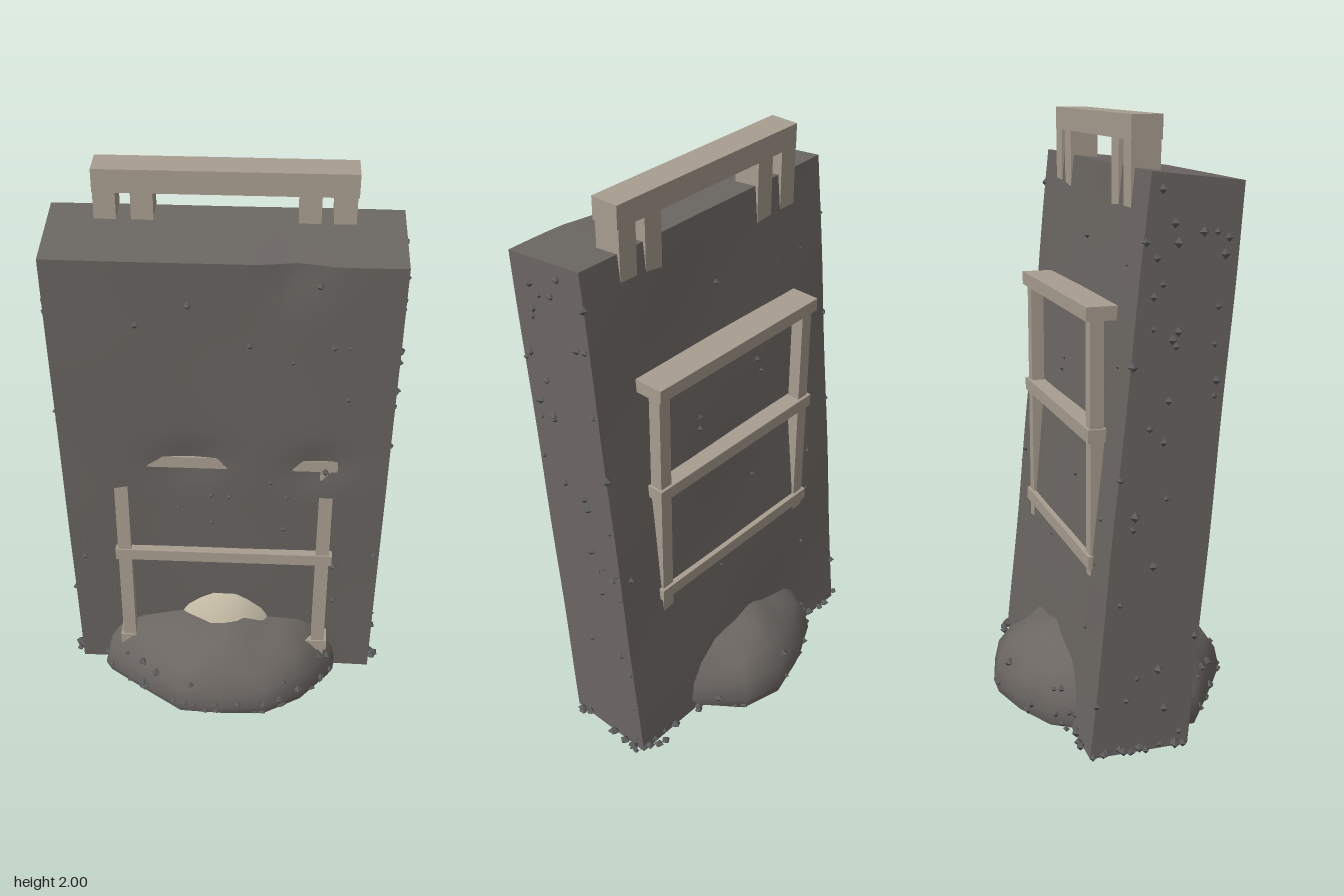
import * as THREE from 'three';
import { mergeGeometries } from 'three/addons/utils/BufferGeometryUtils.js';

const material = (color, extra = {}) => new THREE.MeshStandardMaterial({ color, ...extra });

// Seeded random numbers for the scattered pebbles
let seed = 7;
const rand = () => {
  seed = (seed * 16807) % 2147483647;
  return seed / 2147483647;
};
const range = (a, b) => a + (b - a) * rand();

// Front and back faces of the leaning slab
const slabFront = (y) => 0.104 + 0.156 * y / 1.81;
const slabBack = (y) => -0.225 + 0.187 * y / 1.845;

const gauss = (x, y, cx, cy, w, h) => Math.exp(-(((x - cx) / w) ** 2) - ((y - cy) / h) ** 2);

// Shallow unevenness of the stone, with two worn hollows on the front
function wear(x, y, front) {
  const wave = 0.003 * Math.sin(7 * x + 3 * y) * Math.sin(5 * y - 2 * x);
  if (!front) return wave;
  return wave - 0.018 * gauss(x, y, -0.11, 1.02, 0.1, 0.07) - 0.018 * gauss(x, y, 0.31, 1.02, 0.09, 0.07)
    - 0.02 * gauss(x, y, 0.22, 1.8, 0.07, 0.1);
}

function makeSlab(mat) {
  const geo = new THREE.BoxGeometry(1.08, 1, 1, 20, 36, 4);
  const p = geo.attributes.position;
  for (let i = 0; i < p.count; i++) {
    const x = p.getX(i), d = p.getZ(i) + 0.5;
    const y = (p.getY(i) + 0.5) * (1.845 - 0.033 * d);
    const front = slabFront(y) + wear(x, y, true);
    const back = slabBack(y) - wear(x, y, false);
    p.setXYZ(i, x, y, back + (front - back) * d);
  }
  geo.computeVertexNormals();
  const mesh = new THREE.Mesh(geo, mat);
  mesh.name = 'leaningSlab';
  return mesh;
}

// Mound outline: radius at 16 steps, starting at +x and turning towards +z
const outline = [0.42, 0.44, 0.42, 0.41, 0.385, 0.41, 0.41, 0.48, 0.44, 0.42, 0.42, 0.40, 0.41, 0.40, 0.35, 0.39];
// Mound profile: share of the radius and height
const profile = [[0.96, 0], [1, 0.05], [0.96, 0.12], [0.86, 0.185], [0.68, 0.24], [0.45, 0.275], [0.2, 0.29], [0, 0.3]];

function moundPoint(a, level) {
  const n = outline.length;
  const [share, height] = profile[level];
  const r = outline[a % n] * share;
  const t = (a % n) / n * Math.PI * 2;
  const lump = 1 + 0.07 * Math.sin(a * 2.4 + level * 1.3) * Math.min(1, share * 1.5);
  return new THREE.Vector3(r * Math.cos(t), height * lump, r * Math.sin(t));
}

function makeMound(mat) {
  const n = outline.length, pos = [], index = [];
  profile.forEach((_, level) => {
    for (let a = 0; a < n; a++) pos.push(...moundPoint(a, level).toArray());
  });
  for (let l = 0; l < profile.length - 1; l++) {
    for (let a = 0; a < n; a++) {
      const b = (a + 1) % n, o = l * n, u = o + n;
      index.push(o + a, u + a, o + b, o + b, u + a, u + b);
    }
  }
  const geo = new THREE.BufferGeometry();
  geo.setAttribute('position', new THREE.Float32BufferAttribute(pos, 3));
  geo.setIndex(index);
  geo.computeVertexNormals();
  const mesh = new THREE.Mesh(geo, mat);
  mesh.name = 'earthMound';
  return mesh;
}

// Beam given by its limits on each axis
function beam(parent, name, mat, [x0, x1], [y0, y1], [z0, z1]) {
  const mesh = new THREE.Mesh(new THREE.BoxGeometry(x1 - x0, y1 - y0, z1 - z0), mat);
  mesh.position.set((x0 + x1) / 2, (y0 + y1) / 2, (z0 + z1) / 2);
  mesh.name = name;
  parent.add(mesh);
}

function makePebbles(mat) {
  const parts = [];
  const add = (x, y, z, r = range(0.011, 0.019)) => {
    const g = new THREE.OctahedronGeometry(r);
    g.rotateY(range(0, 3));
    g.translate(x, Math.max(y, r), z);
    parts.push(g);
  };
  // Sides of the slab, denser towards the back
  for (const side of [-1, 1]) {
    for (let i = 0; i < 36; i++) {
      const y = range(0.05, 1.8);
      const z = slabBack(y) + (slabFront(y) - slabBack(y)) * rand() ** 1.3;
      add(side * 0.54, y, z);
    }
    for (let i = 0; i < 14; i++) add(side * range(0.53, 0.565), 0.01, range(-0.23, 0.1));
  }
  // Faces of the slab
  for (let i = 0; i < 24; i++) {
    const x = range(-0.53, 0.53), y = range(0.3, 1.8);
    add(x, y, slabFront(y), range(0.007, 0.016));
  }
  for (let i = 0; i < 14; i++) {
    const x = range(-0.53, 0.53), y = range(0.3, 1.8);
    add(x, y, slabBack(y), range(0.007, 0.014));
  }
  // Foot of the back face
  for (let i = 0; i < 16; i++) add((i % 3 ? 1 : -1) * range(0.25, 0.56), 0.01, range(-0.26, -0.22));
  // Slopes of the mound
  for (let i = 0; i < 60; i++) {
    const a = i < 44 ? Math.floor(range(1, 8)) : Math.floor(range(9, 16));
    const l = Math.floor(range(0, 3));
    const q = moundPoint(a, l).lerp(moundPoint(a + 1, l), rand());
    q.lerp(moundPoint(a, l + 1), 0.3 * rand());
    add(q.x, q.y, q.z);
  }
  const mesh = new THREE.Mesh(mergeGeometries(parts), mat);
  mesh.name = 'pebbles';
  return mesh;
}

export function createModel() {
  const model = new THREE.Group();
  const stone = material(0x6b6662);
  const wood = material(0xa89d90);

  model.add(makeSlab(stone));
  model.add(makeMound(material(0x6b6662, { side: THREE.DoubleSide })));

  // Pale boulder half buried in the mound
  const boulderGeo = new THREE.SphereGeometry(1, 14, 7, 0, Math.PI * 2, 0, Math.PI / 2);
  const boulder = new THREE.Mesh(boulderGeo, material(0xcdc3ad, { side: THREE.DoubleSide }));
  boulder.scale.set(0.25, 0.41, 0.2);
  boulder.position.y = 0.1;
  boulder.name = 'paleBoulder';
  model.add(boulder);

  // Upright timber frame passing through the slab, with rungs on both faces
  const frame = new THREE.Group();
  frame.name = 'timberFrame';
  for (const x of [-0.348, 0.342]) {
    beam(frame, 'frontPost', wood, [x - 0.023, x + 0.023], [0.02, 1.4], [0.13, 0.181]);
    beam(frame, 'backPost', wood, [x - 0.023, x + 0.023], [0.02, 1.4], [-0.17, -0.125]);
  }
  for (const y of [0.18, 0.6, 1.02]) {
    beam(frame, 'frontRung', wood, [-0.38, 0.375], [y - 0.022, y + 0.022], [0.12, 0.186]);
    beam(frame, 'backRung', wood, [-0.38, 0.375], [y - 0.022, y + 0.022], [-0.18, -0.115]);
  }
  beam(frame, 'topPlate', wood, [-0.38, 0.375], [1.385, 1.43], [-0.185, 0.1]);
  model.add(frame);

  // Handle-like rail on four short legs
  const rail = new THREE.Group();
  rail.name = 'topRail';
  beam(rail, 'railBeam', wood, [-0.4, 0.395], [1.925, 2], [-0.05, 0.05]);
  for (const x of [-0.365, -0.252, 0.252, 0.357]) {
    beam(rail, 'railLeg', wood, [x - 0.034, x + 0.034], [1.68, 1.93], [-0.05, 0.045]);
  }
  model.add(rail);

  model.add(makePebbles(material(0x5c5c5c, { flatShading: true })));
  return model;
}
